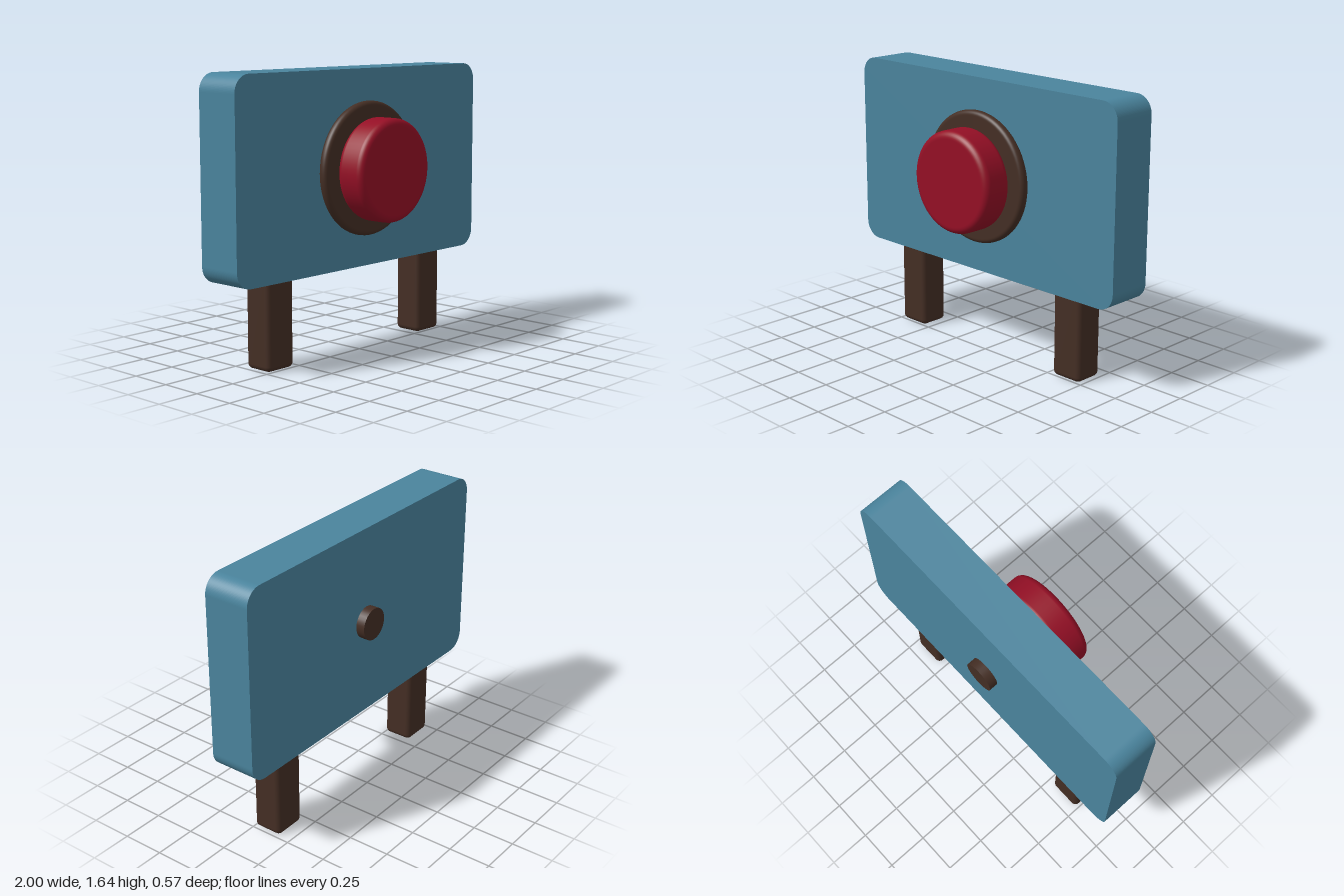
import * as THREE from 'three';
import { RoundedBoxGeometry } from 'three/addons/geometries/RoundedBoxGeometry.js';

const mat = (name, color) => {
  const m = new THREE.MeshStandardMaterial({ color });
  m.name = name;
  return m;
};

// Disc facing +z with both rims rounded by radius b
function roundedDisc(r, z0, z1, b) {
  const pts = [new THREE.Vector2(0, z0), new THREE.Vector2(r - b - 0.004, z0)];
  const steps = 8;
  for (let i = 0; i <= steps; i++) {
    const a = -Math.PI / 2 + (i / steps) * (Math.PI / 2);
    pts.push(new THREE.Vector2(r - b + b * Math.cos(a), z0 + b + b * Math.sin(a)));
  }
  for (let i = 0; i <= steps; i++) {
    const a = (i / steps) * (Math.PI / 2);
    pts.push(new THREE.Vector2(r - b + b * Math.cos(a), z1 - b + b * Math.sin(a)));
  }
  pts.push(new THREE.Vector2(r - b - 0.004, z1), new THREE.Vector2(0, z1));
  return new THREE.LatheGeometry(pts, 64).rotateX(Math.PI / 2);
}

// Rounded rectangle centred on the origin
function roundedRect(w, h, r) {
  const x = w / 2, y = h / 2;
  const s = new THREE.Shape();
  s.moveTo(-x + r, -y);
  s.lineTo(x - r, -y);
  s.absarc(x - r, -y + r, r, -Math.PI / 2, 0);
  s.lineTo(x, y - r);
  s.absarc(x - r, y - r, r, 0, Math.PI / 2);
  s.lineTo(-x + r, y);
  s.absarc(-x + r, y - r, r, Math.PI / 2, Math.PI);
  s.lineTo(-x, -y + r);
  s.absarc(-x + r, -y + r, r, Math.PI, Math.PI * 1.5);
  return s;
}

export function createModel() {
  const blue = mat('blue panel', 0x4a849d);
  const brown = mat('dark brown', 0x442e24);
  const red = mat('red button', 0x940f25);

  const model = new THREE.Group();
  model.name = 'buttonStand';
  const add = (name, geometry, material, x = 0, y = 0, z = 0) => {
    const mesh = new THREE.Mesh(geometry, material);
    mesh.name = name;
    mesh.position.set(x, y, z);
    model.add(mesh);
  };

  // Upright panel with rounded corners and sharp front and back edges
  const panel = new THREE.ExtrudeGeometry(roundedRect(2, 1.135, 0.1), {
    depth: 0.275, bevelEnabled: false, curveSegments: 12,
  });
  add('panel', panel, blue, 0, 1.07, -0.23);

  // Button on its round collar
  const centre = 1.07;
  add('collar', roundedDisc(0.385, 0.04, 0.098, 0.026), brown, 0, centre);
  add('button', roundedDisc(0.295, 0.096, 0.283, 0.04), red, 0, centre);

  // Stub on the back
  const stub = new THREE.CylinderGeometry(0.095, 0.095, 0.065, 32).rotateX(Math.PI / 2);
  add('backStub', stub, brown, 0, centre, -0.2505);

  // Two legs, set slightly into the panel
  for (const side of [1, -1]) {
    add(side > 0 ? 'leftLeg' : 'rightLeg',
      new RoundedBoxGeometry(0.2, 0.55, 0.18, 4, 0.03), brown, side * 0.635, 0.275, -0.09);
  }
  return model;
}
